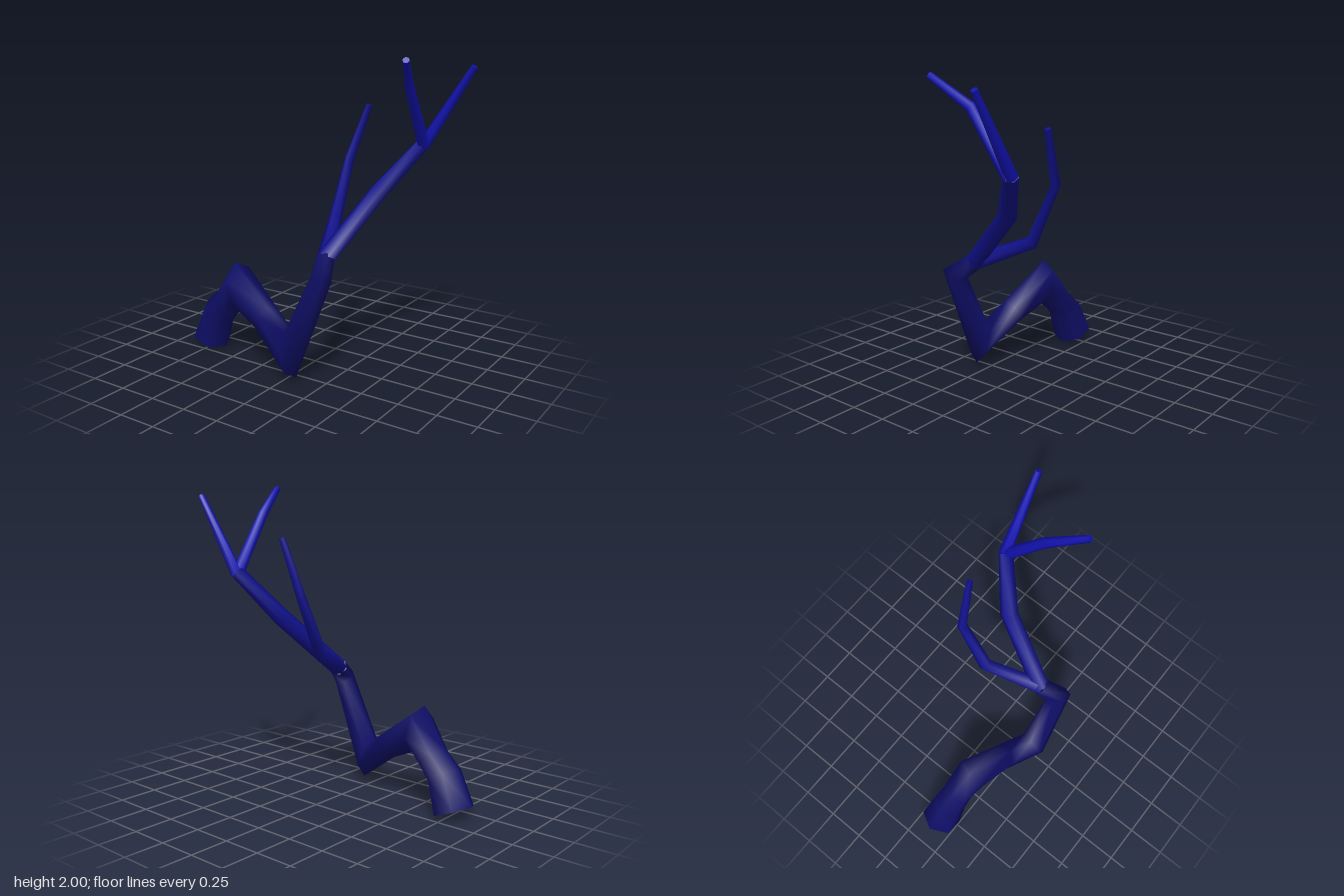
import * as THREE from 'three';

const SIDES = 6;

// Sweeps a hexagonal limb through knots [x, y, z, radius] with mitred joints.
function limb(name, color, knots, capEnd, spin = 0) {
  const pts = knots.map(k => new THREE.Vector3(k[0], k[1], k[2]));
  const dirs = pts.slice(1).map((p, i) => p.clone().sub(pts[i]).normalize());
  const u = new THREE.Vector3(0, 0, 1).cross(dirs[0]).normalize();
  const v = dirs[0].clone().cross(u);
  const turn = new THREE.Quaternion();
  const pos = [], idx = [];
  pts.forEach((p, i) => {
    const din = dirs[Math.max(i - 1, 0)];
    const dout = dirs[Math.min(i, dirs.length - 1)];
    const mid = din.clone().add(dout).normalize();
    for (let s = 0; s < SIDES; s++) {
      const a = spin + s / SIDES * Math.PI * 2;
      const o = u.clone().multiplyScalar(Math.cos(a)).addScaledVector(v, Math.sin(a))
        .multiplyScalar(knots[i][3]);
      o.addScaledVector(din, -o.dot(mid) / din.dot(mid)).add(p);
      pos.push(o.x, Math.max(o.y, 0), o.z);
      if (i < pts.length - 1) {
        const b = i * SIDES + s, c = i * SIDES + (s + 1) % SIDES;
        idx.push(b, c, b + SIDES, c, c + SIDES, b + SIDES);
      }
    }
    turn.setFromUnitVectors(din, dout);
    u.applyQuaternion(turn);
    v.applyQuaternion(turn);
  });
  // Flat tip with its own vertices, so that its edge stays sharp
  if (capEnd) {
    const start = pos.length / 3;
    pos.push(...pos.slice(-SIDES * 3));
    for (let s = 1; s < SIDES - 1; s++) idx.push(start, start + s, start + s + 1);
  }
  const geo = new THREE.BufferGeometry();
  geo.setAttribute('position', new THREE.Float32BufferAttribute(pos, 3));
  geo.setIndex(idx);
  geo.computeVertexNormals();
  const mesh = new THREE.Mesh(geo, new THREE.MeshStandardMaterial({ color, side: THREE.DoubleSide }));
  mesh.name = name;
  return mesh;
}

export function createModel() {
  const group = new THREE.Group();
  group.name = 'branch';
  const dark = 0x0e0e66, medium = 0x10108a, bright = 0x1212b0;
  const fork = [0.21, 0.79, 0.21, 0.06];
  const upperFork = [0.56, 1.45, -0.37, 0.045];

  group.add(
    // Crooked trunk, open at the foot
    limb('trunk', dark, [
      [-0.78, 0.045, 0.13, 0.135],
      [-0.7, 0.245, 0.145, 0.115],
      [-0.61, 0.335, 0.155, 0.105],
      [-0.48, 0.49, 0.18, 0.12],
      [-0.22, 0.335, 0.245, 0.095],
      [0.03, 0.165, 0.325, 0.095],
      [0.26, 0.7, 0.33, 0.07],
      fork,
    ], true),
    // Main limb rising to the upper fork
    limb('mainLimb', medium, [fork, [0.36, 1.16, -0.18, 0.058], upperFork], true),
    // Thin side limb
    limb('sideLimb', medium, [
      [0.21, 0.79, 0.21, 0.055],
      [0.06, 0.94, -0.135, 0.042],
      [0.06, 1.32, -0.31, 0.031],
      [0.185, 1.67, -0.34, 0.021],
    ], true),
    // Two end twigs
    limb('outerTwig', bright, [
      [0.56, 1.44, -0.375, 0.04],
      [0.87, 1.93, -0.385, 0.021],
    ], true),
    limb('frontTwig', bright, [
      [0.565, 1.44, -0.36, 0.04],
      [0.587, 1.81, -0.11, 0.032],
      [0.675, 1.98, 0.115, 0.021],
    ], true),
  );
  return group;
}
